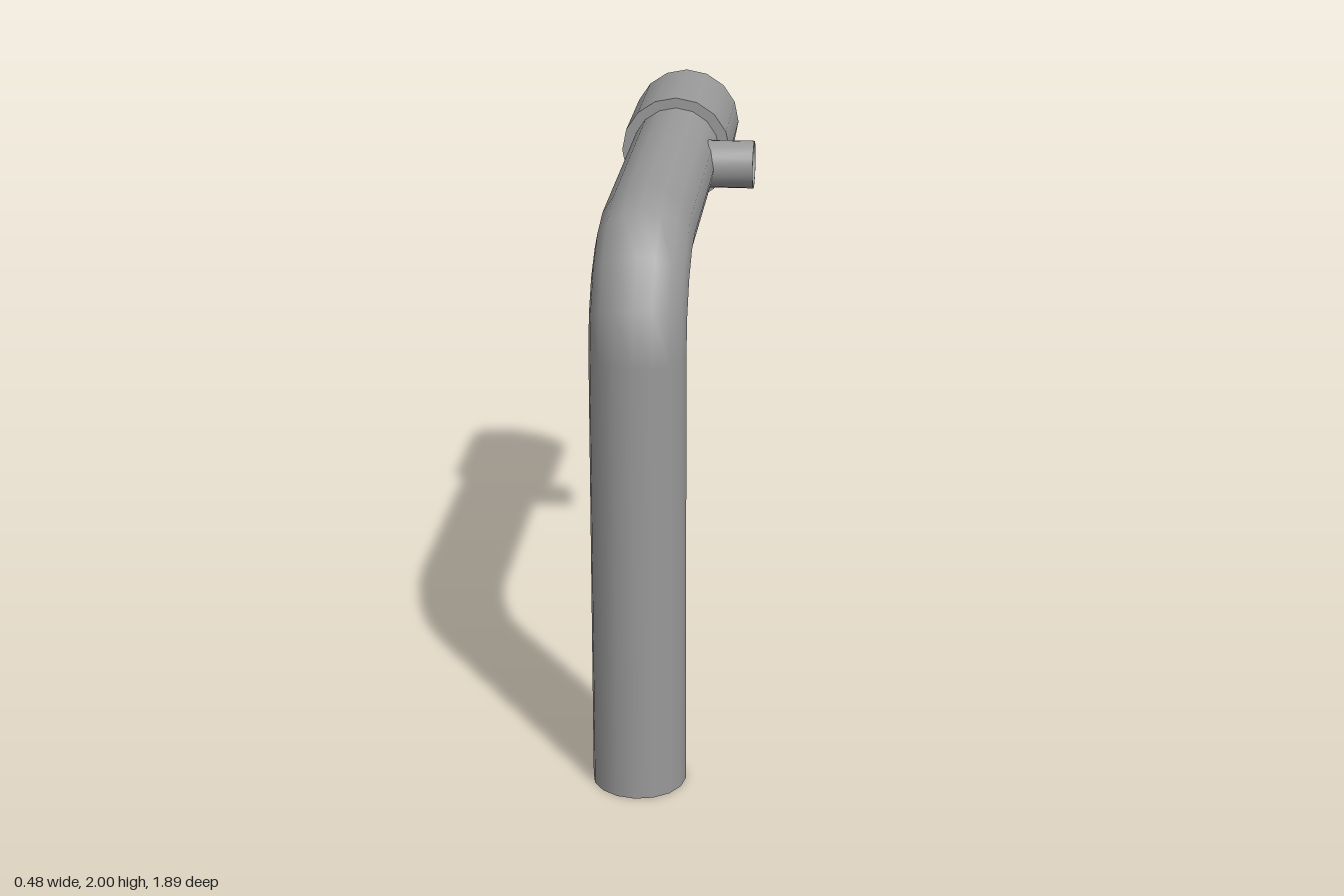
import * as THREE from 'three';
import { toCreasedNormals } from 'three/addons/utils/BufferGeometryUtils.js';

export function createModel() {
  const model = new THREE.Group();
  model.name = 'bentPipe';
  const metal = new THREE.MeshStandardMaterial({ color: 0x999999 });
  metal.name = 'grey metal';

  const X = -0.05, R = 0.155, SIDES = 16;    // pipe centre line and section
  const legZ = 0.793, armY = 1.809, bend = 0.309;
  const bendY = armY - bend, bendZ = legZ - bend;

  const add = (name, geometry, x, y, z) => {
    const mesh = new THREE.Mesh(geometry, metal);
    mesh.name = name;
    mesh.position.set(x, y, z);
    model.add(mesh);
    return mesh;
  };

  // Upright leg, closed at the foot
  add('uprightPipe', new THREE.CylinderGeometry(R, R, bendY, SIDES), X, bendY / 2, legZ);

  // Quarter-turn elbow in four segments
  add('elbow', new THREE.TorusGeometry(bend, R, SIDES, 4, Math.PI / 2).rotateY(-Math.PI / 2), X, bendY, bendZ);

  // Horizontal arm running into the end sleeve
  const armEnd = -0.55, armLength = bendZ - armEnd;
  add('horizontalPipe', new THREE.CylinderGeometry(R, R, armLength, SIDES).rotateX(Math.PI / 2),
    X, armY, (bendZ + armEnd) / 2);

  // Wide closed sleeve at the back
  add('endSleeve', new THREE.CylinderGeometry(0.193, 0.193, 0.437, SIDES).rotateX(Math.PI / 2),
    X, 1.807, -0.7285);

  // Thin-walled open spouts, sunk into the pipe wall
  const spout = (length) => {
    const profile = [[0.083, 0], [0.083, length], [0.075, length], [0.075, 0]]
      .map(([r, y]) => new THREE.Vector2(r, y));
    return toCreasedNormals(new THREE.LatheGeometry(profile, 24), 0.7);
  };
  add('sideSpout', spout(0.19).rotateZ(-Math.PI / 2), 0.05, armY, -0.345);
  add('lowerSpout', spout(0.13).rotateX(-Math.PI / 2), X, 0.18, 0.695);

  return model;
}
